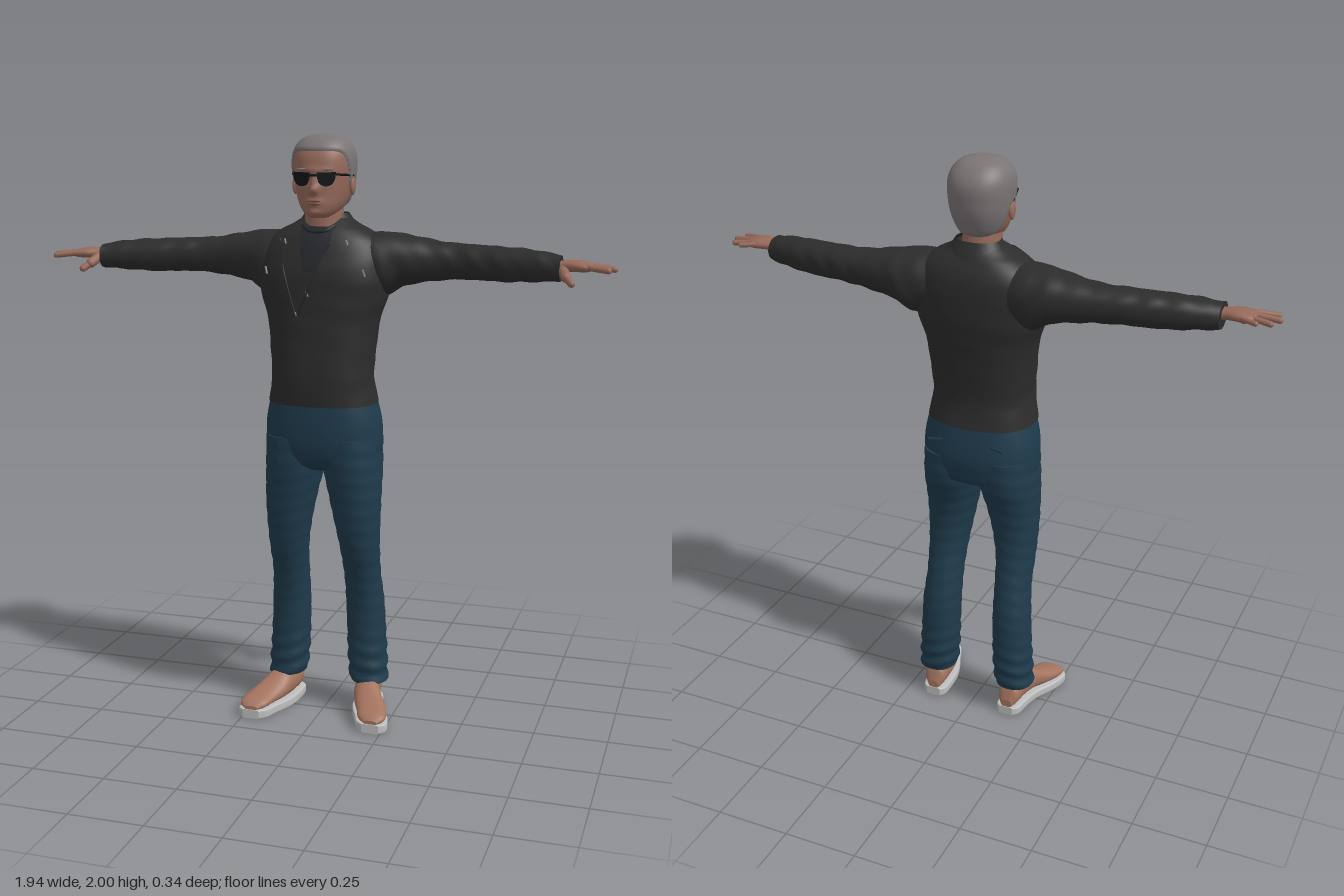
import * as THREE from 'three';

const mat = (name, color, side = THREE.FrontSide) => {
  const m = new THREE.MeshStandardMaterial({ color, side });
  m.name = name;
  return m;
};

// Smooth interpolation of table rows [t, aMin, aMax, bMin, bMax]
function sample(rows, t) {
  let i = 0;
  while (i < rows.length - 2 && Math.abs(t - rows[0][0]) > Math.abs(rows[i + 1][0] - rows[0][0])) i++;
  const p = rows[i], q = rows[i + 1], h = q[0] - p[0];
  const u = Math.min(1, Math.max(0, (t - p[0]) / h));
  const o = rows[i - 1] || p, r = rows[i + 2] || q;
  return p.map((v, k) => {
    if (!k) return t;
    const m0 = (q[k] - o[k]) / (q[0] - o[0]) * h, m1 = (r[k] - v) / (r[0] - p[0]) * h;
    return v * (2 * u ** 3 - 3 * u * u + 1) + m0 * (u ** 3 - 2 * u * u + u)
      + q[k] * (3 * u * u - 2 * u ** 3) + m1 * (u ** 3 - u * u);
  });
}

// Skin of superellipse sections; t rises along the axis
const AXIS = {
  y: (t, a, b) => [a, t, b],
  x: (t, a, b) => [t, b, a],
  z: (t, a, b) => [b, a, t],
};
function loft(rows, axis, { n = 32, k = 4, e = 2.2, caps = true, wrinkle = () => 0 } = {}) {
  const pos = [], idx = [], rings = (rows.length - 1) * k + 1;
  const ring = (r) => {
    const s = Math.min(Math.floor(r / k), rows.length - 2);
    const t = rows[s][0] + (rows[s + 1][0] - rows[s][0]) * (r / k - s);
    const [, a0, a1, b0, b1] = sample(rows, t);
    for (let j = 0; j < n; j++) {
      const th = j / n * Math.PI * 2, c = Math.cos(th), d = Math.sin(th), w = wrinkle(t, th);
      pos.push(...AXIS[axis](t,
        (a0 + a1) / 2 + Math.sign(c) * Math.abs(c) ** (2 / e) * ((a1 - a0) / 2 + w),
        (b0 + b1) / 2 + Math.sign(d) * Math.abs(d) ** (2 / e) * ((b1 - b0) / 2 + w)));
    }
  };
  for (let r = 0; r < rings; r++) ring(r);
  for (let r = 0; r < rings - 1; r++) for (let j = 0; j < n; j++) {
    const a = r * n + j, b = r * n + (j + 1) % n;
    idx.push(a, a + n, b, b, a + n, b + n);
  }
  if (caps) for (const end of [0, rings - 1]) {
    const base = pos.length / 3, w = rows[end ? rows.length - 1 : 0];
    ring(end);
    pos.push(...AXIS[axis](w[0], (w[1] + w[2]) / 2, (w[3] + w[4]) / 2));
    for (let j = 0; j < n; j++) {
      const a = base + j, b = base + (j + 1) % n;
      idx.push(base + n, ...(end ? [b, a] : [a, b]));
    }
  }
  return build(pos, idx);
}
function build(pos, idx) {
  const g = new THREE.BufferGeometry();
  g.setAttribute('position', new THREE.Float32BufferAttribute(pos, 3));
  g.setIndex(idx);
  g.computeVertexNormals();
  return g;
}
function mirrored(g) {
  const m = g.clone().scale(-1, 1, 1), ix = m.index.array;
  for (let i = 0; i < ix.length; i += 3) [ix[i], ix[i + 1]] = [ix[i + 1], ix[i]];
  return m;
}
// Rounded rod between two points
function rod(p, q, r) {
  const a = new THREE.Vector3(...p), b = new THREE.Vector3(...q), d = b.clone().sub(a);
  const g = new THREE.CapsuleGeometry(r, d.length(), 5, 12);
  g.applyQuaternion(new THREE.Quaternion().setFromUnitVectors(new THREE.Vector3(0, 1, 0), d.normalize()));
  return g.translate(...a.add(b).multiplyScalar(0.5).toArray());
}
const ball = (x, y, z, sx, sy, sz) => new THREE.SphereGeometry(1, 20, 14).scale(sx, sy, sz).translate(x, y, z);

const TORSO = [
  [1.115, -.186, .186, -.146, .138], [1.2, -.172, .172, -.13, .143], [1.3, -.178, .178, -.138, .138],
  [1.4, -.19, .19, -.15, .133], [1.48, -.216, .216, -.162, .13], [1.56, -.222, .222, -.166, .125],
  [1.62, -.212, .212, -.163, .105], [1.66, -.19, .19, -.15, .087], [1.69, -.15, .15, -.133, .068],
  [1.71, -.11, .11, -.118, .05], [1.73, -.08, .08, -.105, .025],
];
const chestZ = (x, y) => {
  const [, a0, a1, b0, b1] = sample(TORSO, y);
  return (b0 + b1) / 2 + (b1 - b0) / 2 * Math.max(0, 1 - Math.abs(2 * x / (a1 - a0)) ** 2.4) ** (1 / 2.4);
};
// Thin cloth panel lying on the chest, rows [y, xLeftEdge, xRightEdge] going down
function panel(rows, off) {
  const pos = [], idx = [], k = 6, n = 6, R = (rows.length - 1) * k;
  for (let r = 0; r <= R; r++) {
    const s = Math.min(Math.floor(r / k), rows.length - 2), u = r / k - s;
    const [y, l, m] = rows[s].map((v, i) => v + (rows[s + 1][i] - v) * u);
    for (let j = 0; j <= n; j++) {
      const x = l + (m - l) * j / n, a = r * (n + 1) + j;
      pos.push(x, y, chestZ(x, y) + off);
      if (r < R && j < n) idx.push(a, a + n + 1, a + 1, a + 1, a + n + 1, a + n + 2);
    }
  }
  return build(pos, idx);
}
const seam = (pts, r, off) => new THREE.TubeGeometry(new THREE.CatmullRomCurve3(
  pts.map(([x, y]) => new THREE.Vector3(x, y, chestZ(x, y) + off))), 24, r, 6);

export function createModel() {
  const model = new THREE.Group();
  const M = {
    skin: mat('skin', 0x95695a), hair: mat('greyHair', 0x7b7475), jacket: mat('blackJacket', 0x2c2c2c, THREE.DoubleSide),
    shirt: mat('darkShirt', 0x24262a), jeans: mat('blueJeans', 0x1f3b4c), shoe: mat('tanShoe', 0xa4745f),
    sole: mat('whiteSole', 0xbdbdbd), glass: mat('darkGlasses', 0x121417), metal: mat('metal', 0x85858a), lip: mat('lips', 0x82564b),
  };
  const add = (name, g, m) => {
    const mesh = new THREE.Mesh(g, m);
    mesh.name = name;
    model.add(mesh);
  };
  const pair = (name, g, m) => { add(name + 'Left', g, m); add(name + 'Right', mirrored(g), m); };

  // Head with sculpted face
  const head = loft([
    [1.733, -.03, .03, -.01, .085], [1.745, -.05, .05, -.05, .1], [1.77, -.07, .07, -.088, .106],
    [1.8, -.083, .083, -.106, .104], [1.84, -.093, .093, -.12, .104], [1.88, -.098, .098, -.125, .104],
    [1.92, -.099, .099, -.125, .1], [1.95, -.093, .093, -.113, .088], [1.975, -.076, .076, -.09, .066],
    [1.988, -.053, .053, -.064, .042], [1.995, -.018, .018, -.03, .008],
  ], 'y', { n: 96, k: 7, e: 2.25 });
  const scalp = head.clone();
  const bumps = [ // x, y, width, height, depth
    [0, 1.824, .012, .014, .026], [0, 1.85, .009, .02, .014], [.036, 1.86, .02, .013, -.012], [-.036, 1.86, .02, .013, -.012],
    [0, 1.785, .024, .012, .006], [0, 1.75, .022, .01, .006], [0, 1.886, .05, .01, .005],
  ];
  const hp = head.attributes.position;
  for (let i = 0; i < hp.count; i++) if (hp.getZ(i) > .03) {
    let z = hp.getZ(i);
    for (const [x, y, w, h, d] of bumps) z += d * Math.exp(-(((hp.getX(i) - x) / w) ** 2) - ((hp.getY(i) - y) / h) ** 2);
    hp.setZ(i, z);
  }
  head.computeVertexNormals();
  add('head', head, M.skin);
  add('neck', loft([[1.62, -.075, .075, -.09, .07], [1.7, -.064, .064, -.085, .062], [1.78, -.062, .062, -.075, .06]], 'y'), M.skin);
  pair('ear', ball(.098, 1.835, -.004, .01, .031, .019), M.skin);
  add('upperLip', ball(0, 1.789, .11, .025, .0045, .006), M.lip);
  add('lowerLip', ball(0, 1.78, .109, .021, .005, .006), M.lip);

  // Hair swells out of the scalp behind the hairline
  const hairline = [[-.14, 1.75], [-.06, 1.762], [-.035, 1.8], [-.015, 1.855], [.012, 1.835], [.032, 1.885], [.055, 1.938], [.12, 1.945]];
  const sp = scalp.attributes.position, sn = scalp.attributes.normal;
  for (let i = 0; i < sp.count; i++) {
    const s = sp.getY(i) - sample(hairline, sp.getZ(i))[1];
    const d = THREE.MathUtils.smoothstep(s, -.008, .01) * .012 - .006;
    sp.setXYZ(i, sp.getX(i) + sn.getX(i) * d, sp.getY(i) + sn.getY(i) * d, sp.getZ(i) + sn.getZ(i) * d);
  }
  scalp.computeVertexNormals();
  add('hair', scalp, M.hair);
  pair('eyebrow', ball(.04, 1.889, .098, .024, .004, .006).rotateZ(0), M.hair);

  // Sunglasses
  const lens = new THREE.Shape();
  lens.moveTo(-.028, .019);
  lens.lineTo(.034, .021);
  lens.bezierCurveTo(.034, -.012, .02, -.024, .002, -.024);
  lens.bezierCurveTo(-.018, -.024, -.028, -.01, -.028, .019);
  const lensGeo = new THREE.ExtrudeGeometry(lens, { depth: .005, bevelEnabled: false, curveSegments: 10 });
  lensGeo.rotateY(.32).translate(.038, 1.86, .106);
  lensGeo.setIndex([...Array(lensGeo.attributes.position.count).keys()]);
  pair('lens', lensGeo, M.glass);
  add('bridge', rod([-.012, 1.871, .118], [.012, 1.871, .118], .004), M.glass);
  pair('temple', rod([.074, 1.874, .096], [.101, 1.868, .0], .004), M.glass);

  // Jacket body, sleeves and collar
  const fold = (t, th) => .002 * Math.sin(t * 70 + 2 * Math.sin(th * 2)) * Math.sin(th + t * 9);
  add('jacketBody', loft(TORSO, 'y', { n: 64, e: 2.4, wrinkle: (t, th) => fold(t, th) * .6 }), M.jacket);
  pair('sleeve', loft([
    [.1, -.13, .05, 1.53, 1.68], [.2, -.155, .06, 1.475, 1.685], [.27, -.15, .04, 1.508, 1.677],
    [.4, -.125, .015, 1.53, 1.655], [.5, -.108, .02, 1.535, 1.65], [.6, -.09, .035, 1.533, 1.646],
    [.7, -.068, .05, 1.538, 1.64], [.79, -.037, .065, 1.545, 1.627],
  ], 'x', { n: 36, k: 8, wrinkle: fold }), M.jacket);
  add('collar', loft([[1.675, -.125, .125, -.137, .06], [1.71, -.098, .098, -.122, .04], [1.745, -.074, .074, -.1, .015]], 'y', { caps: false }), M.jacket);
  add('shirt', panel([[1.705, -.055, .055], [1.65, -.055, .048], [1.6, -.045, .03], [1.56, -.03, .012]], .006), M.shirt);
  add('neckband', seam([[-.055, 1.708], [-.03, 1.692], [0, 1.688], [.03, 1.692], [.055, 1.708]], .006, .008), M.shirt);
  add('lapelRight', panel([[1.7, -.085, -.055], [1.665, -.13, -.056], [1.55, -.095, -.03], [1.41, -.055, -.05]], .009), M.jacket);
  add('lapelLeft', panel([[1.7, .055, .085], [1.665, .052, .125], [1.62, .035, .105], [1.52, -.005, .035], [1.41, -.05, -.045]], .009), M.jacket);
  add('lapelEdgeRight', seam([[-.13, 1.665], [-.095, 1.55], [-.052, 1.41]], .003, .009), M.shirt);
  add('frontZip', seam([[.05, 1.65], [0, 1.53], [-.05, 1.41]], .003, .01), M.shirt);
  for (const [x, y, h] of [[-.17, 1.56, .012], [.165, 1.56, .012], [.105, 1.655, .008], [-.105, 1.655, .008], [-.015, 1.49, .008], [-.052, 1.42, .01]])
    add('zipPull', seam([[x - .004, y + h], [x + .004, y - h]], .0035, .008), M.metal);

  // Hands
  pair('palm', loft([
    [.765, -.012, .045, 1.568, 1.61], [.8, -.01, .05, 1.575, 1.612], [.84, -.022, .068, 1.577, 1.614],
    [.875, -.022, .072, 1.578, 1.609], [.893, -.005, .064, 1.583, 1.603],
  ], 'x', { n: 24 }), M.skin);
  for (const [name, p, q, r] of [
    ['littleFinger', [.85, 1.597, -.014], [.902, 1.594, -.034], .0085], ['ringFinger', [.88, 1.596, .004], [.942, 1.59, -.009], .0095],
    ['middleFinger', [.88, 1.596, .034], [.96, 1.589, .036], .01], ['indexFinger', [.88, 1.595, .06], [.945, 1.588, .079], .01],
    ['thumbBase', [.8, 1.583, .045], [.815, 1.564, .08], .0165], ['thumb', [.815, 1.564, .08], [.835, 1.547, .1], .012],
  ]) pair(name, rod(p, q, r), M.skin);

  // Jeans
  add('hips', loft([
    [.885, -.1, .1, -.09, .07], [.91, -.175, .175, -.135, .105], [.95, -.199, .199, -.148, .122], [1.0, -.2, .2, -.155, .129],
    [1.06, -.196, .196, -.148, .129], [1.14, -.178, .178, -.132, .125],
  ], 'y', { n: 48, e: 2.4 }), M.jeans);
  pair('trouserLeg', loft([
    [.11, .084, .214, -.136, .01], [.2, .076, .21, -.144, .012], [.3, .072, .205, -.141, .01], [.4, .07, .2, -.135, .016],
    [.5, .069, .192, -.116, .037], [.6, .062, .194, -.096, .07], [.7, .045, .198, -.092, .092], [.8, .024, .201, -.108, .106],
    [.9, .003, .201, -.14, .118], [1.0, 0, .196, -.145, .12],
  ], 'y', {
    n: 36, k: 8, wrinkle: (t, th) => (t < .34 ? .004 * Math.min(1, (.34 - t) * 6) : .001) * Math.sin(t * 110 + 2 * Math.sin(th + 1)),
  }), M.jeans);
  pair('backPocket', new THREE.BoxGeometry(.085, .006, .006).rotateY(.3).translate(.095, 1.06, -.14), M.jeans);

  // Shoes
  const shoe = [
    [-.132, .028, .06, .125, .165], [-.115, .028, .11, .11, .182], [-.05, .028, .13, .108, .194], [0, .028, .126, .113, .208],
    [.05, .028, .096, .128, .235], [.1, .028, .076, .15, .256], [.145, .028, .062, .168, .26], [.166, .03, .045, .192, .24],
  ];
  pair('shoe', loft(shoe, 'z', { n: 32, k: 5 }), M.shoe);
  pair('sole', loft(shoe.map(([z, , , l, r]) => [z * 1.02, 0, .032, l - .006, r + .006]), 'z', { n: 32, k: 5, e: 8 }), M.sole);
  return model;
}
